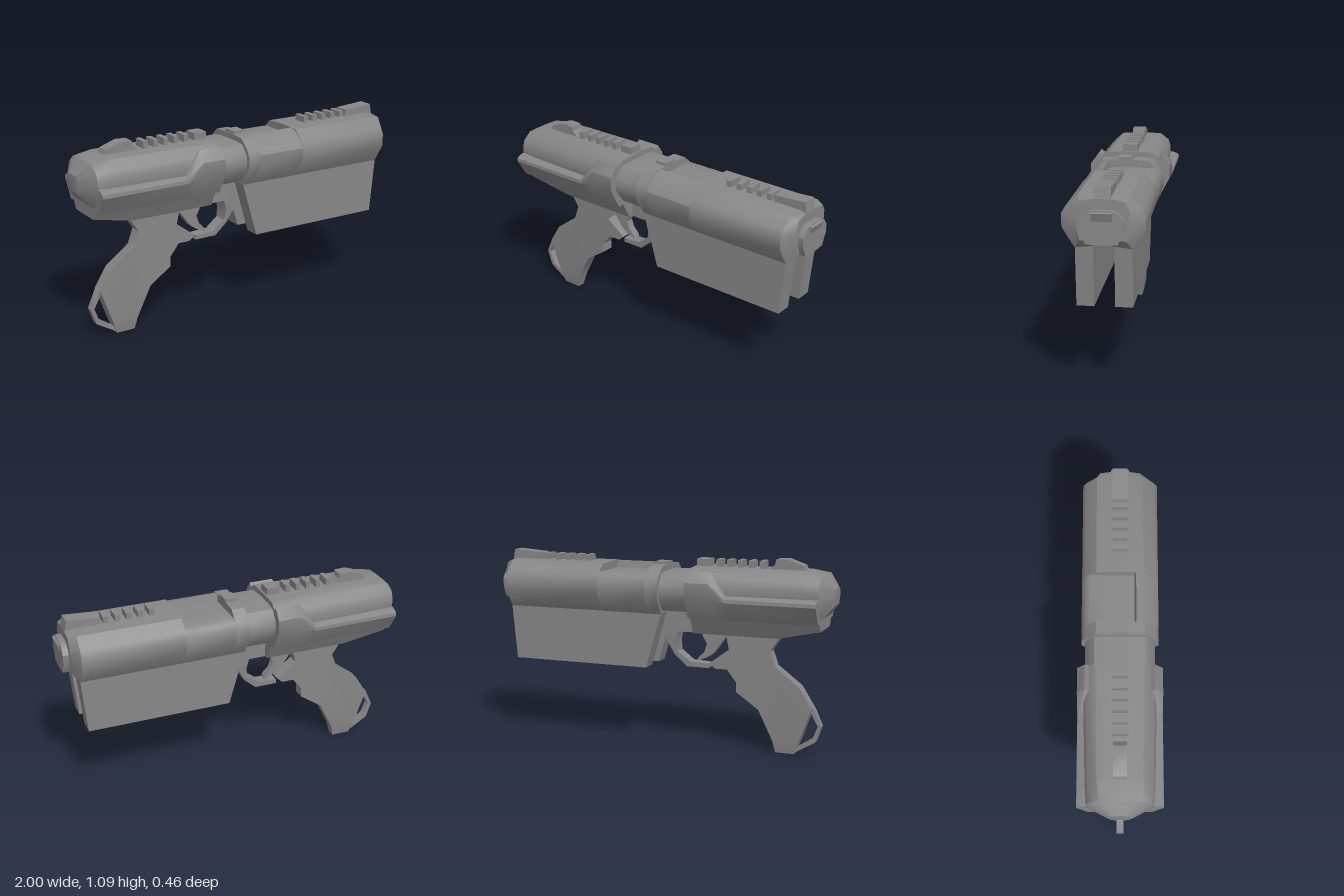
import * as THREE from 'three';
import { toCreasedNormals } from 'three/addons/utils/BufferGeometryUtils.js';

const material = new THREE.MeshStandardMaterial({ color: 0x878787 });
const CREASE = 0.62;

function add(group, name, geometry) {
  const mesh = new THREE.Mesh(toCreasedNormals(geometry, CREASE), material);
  mesh.name = name;
  group.add(mesh);
  return mesh;
}

// Loft along x through sections [x, [[z, y], ...]] with equal point counts, capped at both ends
function loft(sections) {
  const n = sections[0][1].length;
  const outline = (s) => s[1].map(([z, y]) => new THREE.Vector2(z, y));
  const first = outline(sections[0]);
  const end = outline(sections[sections.length - 1]);
  const flip = THREE.ShapeUtils.area(first) > 0;
  const pos = [], index = [];
  const tri = (a, b, c) => (flip ? index.push(a, c, b) : index.push(a, b, c));
  for (const [x, pts] of sections) for (const [z, y] of pts) pos.push(x, y, z);
  for (let s = 0; s < sections.length - 1; s++) {
    for (let i = 0; i < n; i++) {
      const a = s * n + i, b = s * n + (i + 1) % n;
      tri(a, b, a + n);
      tri(b, b + n, a + n);
    }
  }
  // counter-clockwise in (z, y) faces -x
  const orient = (p, [a, b, c]) => {
    const area = (p[b].x - p[a].x) * (p[c].y - p[a].y) - (p[b].y - p[a].y) * (p[c].x - p[a].x);
    return area > 0 ? [a, b, c] : [a, c, b];
  };
  const last = (sections.length - 1) * n;
  for (const f of THREE.ShapeUtils.triangulateShape(first, [])) index.push(...orient(first, f));
  for (const f of THREE.ShapeUtils.triangulateShape(end, [])) {
    const [a, b, c] = orient(end, f);
    index.push(last + a, last + c, last + b);
  }
  const g = new THREE.BufferGeometry();
  g.setAttribute('position', new THREE.Float32BufferAttribute(pos, 3));
  g.setIndex(index);
  return g;
}

// Side profile in (x, y) extruded across z; halfWidth(y) gives the half thickness
function plate(points, halfWidth, hole) {
  const v = (list) => list.map(([x, y]) => new THREE.Vector2(x, y));
  const shape = new THREE.Shape(v(points));
  if (hole) shape.holes.push(new THREE.Path(v(hole)));
  const g = new THREE.ExtrudeGeometry(shape, { depth: 2, bevelEnabled: false });
  g.translate(0, 0, -1);
  const p = g.attributes.position;
  for (let i = 0; i < p.count; i++) p.setZ(i, p.getZ(i) * halfWidth(p.getY(i)));
  return g;
}

// Mirror half a section (listed from top to bottom on +z) into a full loop
const both = (half) => [...half, ...half.slice().reverse().map(([z, y]) => [-z, y])];
const scaled = (pts, sz, sy, cy = 0.9) => pts.map(([z, y]) => [z * sz, cy + (y - cy) * sy]);

export function createModel() {
  const model = new THREE.Group();
  model.name = 'blasterPistol';

  // Front housing, with a recessed port in the roof and a channel underneath
  const full = both([[0.05, 1.035], [0.13, 1.03], [0.19, 0.975], [0.21, 0.94], [0.21, 0.87],
    [0.145, 0.765], [0.05, 0.775], [0.035, 0.8]]);
  const port = full.map((p) => p.slice());
  port[1] = [0.13, 1.022];
  port[2] = [0.187, 0.972];
  port.splice(0, 1, [0.078, 0.99], [0.088, 1.033]);
  port[port.length - 1] = [-0.05, 0.99];
  port[port.length - 2] = [-0.165, 0.992];
  const nose = both([[0.05, 1.025], [0.11, 1.015], [0.135, 0.965], [0.135, 0.93], [0.13, 0.875],
    [0.115, 0.815], [0.05, 0.815], [0.035, 0.82]]);
  add(model, 'frontHousingRear', loft([[-0.035, full], [0.04, full]]));
  add(model, 'frontHousingPort', loft([[0.04, port], [0.33, port]]));
  add(model, 'frontHousing', loft([[0.33, full], [0.91, full], [0.952, nose]]));

  // Muzzle
  const muzzle = both([[0.05, 0.973], [0.085, 0.955], [0.11, 0.92], [0.11, 0.87], [0.08, 0.805], [0.035, 0.8]]);
  add(model, 'muzzle', loft([[0.93, muzzle], [0.985, muzzle]]));
  add(model, 'muzzleLip', plate([[0.96, 0.92], [0.985, 0.92], [1, 0.963], [0.96, 0.973]], () => 0.052));

  // Joint between the two housings
  const joint = both([[0.08, 1.003], [0.14, 0.995], [0.185, 0.94], [0.19, 0.9], [0.185, 0.86], [0.13, 0.785]]);
  add(model, 'jointCore', loft([[-0.22, joint], [-0.02, joint]]));

  // Rear housing with tapered end cap
  const rear = both([[0.05, 1.035], [0.13, 1.03], [0.185, 0.985], [0.2, 0.94], [0.2, 0.87], [0.14, 0.76]]);
  add(model, 'rearHousing', loft([
    [-1, scaled(rear, 0.33, 0.34)],
    [-0.938, scaled(rear, 0.88, 0.86)],
    [-0.83, scaled(rear, 0.92, 0.99)],
    [-0.2, rear],
  ]));

  // Armour panels on the rear flanks, stepped up toward the joint
  const low = [[0.14, 0.9], [0.195, 0.895], [0.228, 0.88], [0.23, 0.86], [0.165, 0.757], [0.11, 0.765]];
  const high = [[0.14, 0.98], [0.187, 1.02], [0.23, 0.96], [0.23, 0.88], [0.165, 0.757], [0.11, 0.765]];
  for (const [side, s] of [['left', 1], ['right', -1]]) {
    const flank = (pts) => pts.map(([z, y]) => [z * s, y]);
    add(model, side + 'FlankPanel', loft([
      [-0.938, flank(low)], [-0.43, flank(low)], [-0.34, flank(high)], [-0.2, flank(high)],
    ]));
  }

  // Lower frame under the rear housing
  add(model, 'lowerFrame', plate(
    [[-0.938, 0.78], [-0.938, 0.715], [-0.69, 0.657], [-0.2, 0.657], [-0.2, 0.78]],
    (y) => THREE.MathUtils.mapLinear(y, 0.657, 0.78, 0.075, 0.14)));

  // Twin magazine slabs
  for (const [side, s] of [['left', 1], ['right', -1]]) {
    const slab = plate([[-0.035, 0.775], [0.058, 0.453], [0.882, 0.453], [0.912, 0.775]], () => 0.0455);
    add(model, side + 'Magazine', slab).position.z = 0.0985 * s;
  }

  // Grip, loop, trigger and guard
  add(model, 'grip', plate([
    [-0.7, 0.665], [-0.64, 0.575], [-0.67, 0.49], [-0.81, 0.385], [-0.882, 0.27], [-0.81, 0.07],
    [-0.785, 0], [-0.675, 0], [-0.66, 0.07], [-0.575, 0.24], [-0.445, 0.33], [-0.445, 0.385],
    [-0.39, 0.455], [-0.32, 0.455], [-0.286, 0.485], [-0.4, 0.57], [-0.38, 0.665],
  ], (y) => (y < 0.03 ? 0.023 : 0.036)));
  add(model, 'gripLoop', plate(
    [[-0.87, 0.285], [-0.89, 0.27], [-0.935, 0.17], [-0.905, 0.08], [-0.78, 0.005], [-0.77, 0.05]],
    () => 0.02,
    [[-0.872, 0.25], [-0.915, 0.17], [-0.888, 0.1], [-0.79, 0.035]]));
  add(model, 'trigger', plate([
    [-0.39, 0.665], [-0.375, 0.635], [-0.305, 0.54], [-0.27, 0.515], [-0.21, 0.49],
    [-0.215, 0.51], [-0.25, 0.545], [-0.265, 0.59], [-0.225, 0.665],
  ], () => 0.022));
  add(model, 'triggerGuard', plate([
    [-0.21, 0.79], [-0.04, 0.79], [-0.01, 0.65], [-0.035, 0.6], [-0.075, 0.52], [-0.15, 0.455],
    [-0.28, 0.455], [-0.28, 0.48], [-0.17, 0.485], [-0.095, 0.54], [-0.085, 0.6], [-0.1, 0.657], [-0.21, 0.657],
  ], (y) => THREE.MathUtils.clamp(THREE.MathUtils.mapLinear(y, 0.5, 0.6, 0.033, 0.05), 0.033, 0.05)));

  // Sights and top ribs
  add(model, 'rearSight', plate([
    [-0.835, 1.02], [-0.82, 1.058], [-0.73, 1.09], [-0.665, 1.087], [-0.66, 1.06], [-0.61, 1.02],
  ], () => 0.036));
  add(model, 'frontSight', plate([
    [0.755, 1.02], [0.755, 1.072], [0.94, 1.085], [0.952, 1.02],
  ], () => 0.042));
  const block = (name, x0, x1, top) => add(model, name,
    plate([[x0, 1.015], [x1, 1.015], [x1, top], [x0, top]], () => 0.042));
  for (let i = 0; i < 5; i++) {
    block('rearRib', -0.6 + i * 0.0625, -0.573 + i * 0.0625, 1.075);
    block('frontRib', 0.452 + i * 0.064, 0.482 + i * 0.064, 1.07);
  }
  block('rearTopBlock', -0.285, -0.21, 1.075);
  block('midTopBlock', -0.03, 0.04, 1.05);

  return model;
}
